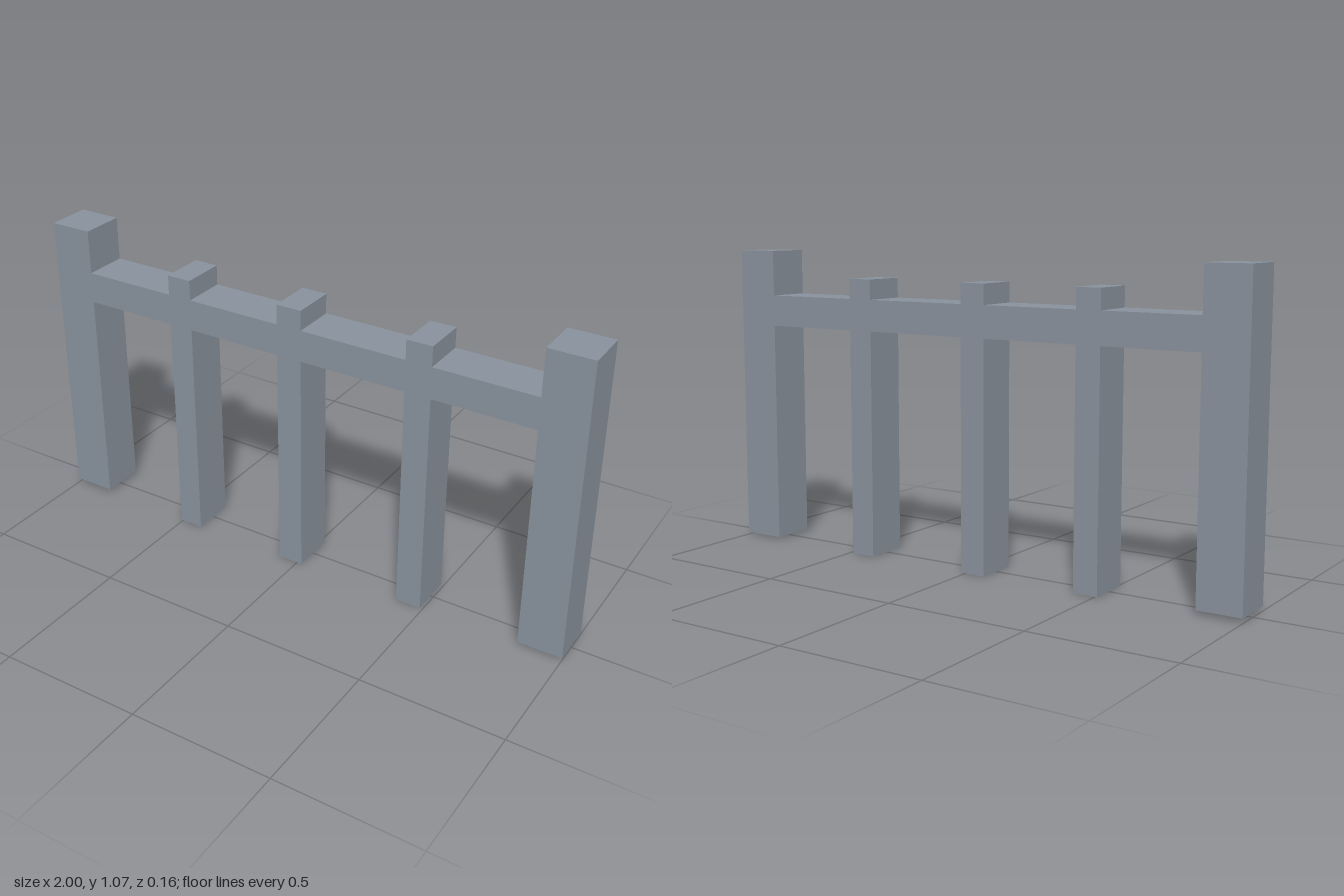
import * as THREE from 'three';

const DEPTH = 0.156;
const RAIL = { bottom: 0.8, top: 0.91 };

// Uprights from -x to +x: two broad end posts and three slim pickets
const UPRIGHTS = [
  { x0: -1, x1: -0.847, bottom: 0.016, top: 1.064 },
  { x0: -0.507, x1: -0.419, bottom: 0, top: 0.98 },
  { x0: -0.073, x1: 0.018, bottom: 0, top: 0.98 },
  { x0: 0.398, x1: 0.489, bottom: 0, top: 0.98 },
  { x0: 0.845, x1: 1, bottom: 0.009, top: 1.071 },
];

// One continuous outline, so the rail and uprights join flush with no inner faces
function fenceOutline() {
  const lower = [];
  const upper = [];
  UPRIGHTS.forEach(({ x0, x1, bottom, top }, i) => {
    const first = i === 0;
    const last = i === UPRIGHTS.length - 1;
    // The rail stops at the inner sides of the end posts
    if (!first) {
      lower.push(new THREE.Vector2(x0, RAIL.bottom));
      upper.push(new THREE.Vector2(x0, RAIL.top));
    }
    lower.push(new THREE.Vector2(x0, bottom), new THREE.Vector2(x1, bottom));
    upper.push(new THREE.Vector2(x0, top), new THREE.Vector2(x1, top));
    if (!last) {
      lower.push(new THREE.Vector2(x1, RAIL.bottom));
      upper.push(new THREE.Vector2(x1, RAIL.top));
    }
  });
  return new THREE.Shape([...lower, ...upper.reverse()]);
}

export function createModel() {
  const model = new THREE.Group();
  model.name = 'fence';

  const geometry = new THREE.ExtrudeGeometry(fenceOutline(), { depth: DEPTH, bevelEnabled: false });
  geometry.translate(0, 0, -DEPTH / 2);

  // Slate blue-grey
  const material = new THREE.MeshStandardMaterial({ color: 0x88919c, flatShading: true });
  const frame = new THREE.Mesh(geometry, material);
  frame.name = 'postsAndRail';
  model.add(frame);

  return model;
}
